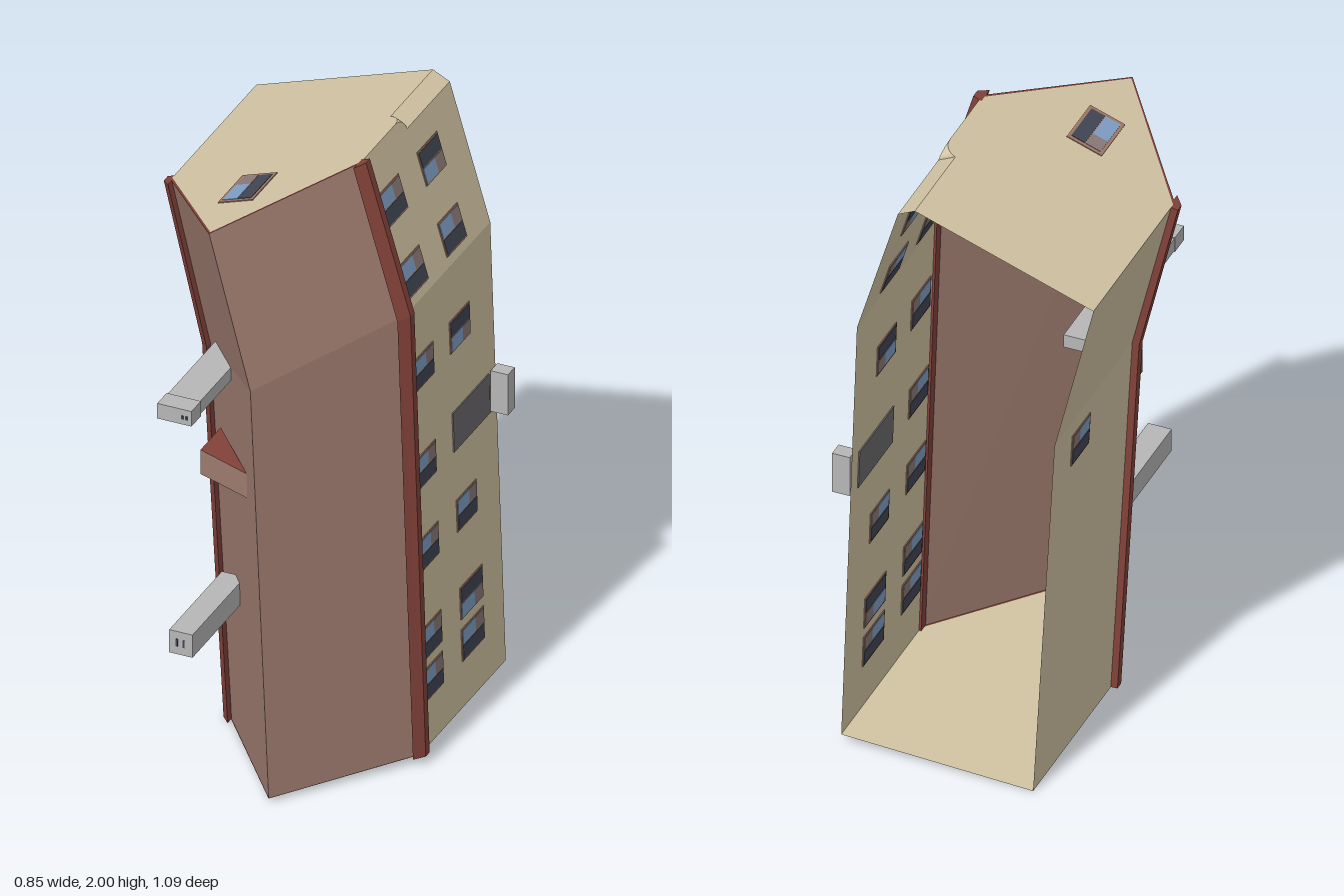
import * as THREE from 'three';

const material = (name, color, side = THREE.FrontSide) => {
  const m = new THREE.MeshStandardMaterial({ color, side });
  m.name = name;
  return m;
};

export function createModel() {
  const model = new THREE.Group();
  model.name = 'bentHouse';

  const sand = material('sandPlaster', 0xd2c4a3, THREE.DoubleSide);
  const brown = material('brownRoof', 0x9c7a6e, THREE.DoubleSide);
  const red = material('redTrim', 0x83423a, THREE.DoubleSide);
  const grey = material('greyStone', 0xb6b6b6);
  const door = material('doorGrey', 0x6c6a6c);
  const dark = material('darkPane', 0x414653);
  const blue = material('bluePane', 0x7f9fc4);
  const haze = material('hazePane', 0x8a7a78);
  const frame = material('windowFrame', 0xa07868);

  // Three cross-sections along the house: centre, slope and width factor
  const sections = [
    { x: 0.092, y: 0.019, slope: 0.045, w: 1 },
    { x: 0.033, y: 1.387, slope: 0.39, w: 1.03 },
    { x: -0.1, y: 1.89, slope: 0.345, w: 1 },
  ];
  const at = (k, u, z) => {
    const s = sections[k];
    return [s.x + u * s.w, s.y + u * s.w * s.slope, z];
  };

  const add = (name, geometry, mat, parent = model) => {
    const mesh = new THREE.Mesh(geometry, mat);
    mesh.name = name;
    parent.add(mesh);
    return mesh;
  };
  // Flat-faced geometry from a list of four-cornered faces
  const quads = (list) => {
    const p = [];
    for (const [a, b, c, d] of list) p.push(...a, ...b, ...c, ...a, ...c, ...d);
    const g = new THREE.BufferGeometry();
    g.setAttribute('position', new THREE.Float32BufferAttribute(p, 3));
    g.computeVertexNormals();
    return g;
  };
  // Sweep a (u, z) profile through the chosen sections
  const loft = (profile, first = 0, last = 2) => {
    const list = [];
    for (let k = first; k < last; k++)
      for (let i = 0; i + 1 < profile.length; i++) {
        const [a, b] = [profile[i], profile[i + 1]];
        list.push([at(k, ...a), at(k, ...b), at(k + 1, ...b), at(k + 1, ...a)]);
      }
    return quads(list);
  };
  // Flat polygon carried into space by a rule
  const mapped = (points, rule) => {
    const g = new THREE.ShapeGeometry(new THREE.Shape(points.map((p) => new THREE.Vector2(...p))));
    const pos = g.attributes.position;
    for (let i = 0; i < pos.count; i++) pos.setXYZ(i, ...rule(pos.getX(i), pos.getY(i)));
    g.computeVertexNormals();
    return g;
  };
  const box = (name, x, y, z, mat, parent = model) => {
    const mesh = add(name, new THREE.BoxGeometry(x[1] - x[0], y[1] - y[0], z[1] - z[0]), mat, parent);
    mesh.position.set((x[0] + x[1]) / 2, (y[0] + y[1]) / 2, (z[0] + z[1]) / 2);
    return mesh;
  };

  const HALF = 0.305, BACK = -0.54, EAVE = 0.04, RIDGE = 0.434;

  // Walls
  add('leftWall', loft([[-HALF, BACK], [-HALF, EAVE]]), sand);
  add('rightWallLower', loft([[HALF, BACK], [HALF, EAVE]], 0, 1), sand);

  // Rounded cut at the upper right corner
  const cut = [];
  for (let i = 0; i <= 8; i++) {
    const a = (i / 8) * Math.PI / 2;
    cut.push([-0.185 - 0.06 * Math.sin(a), 1 - Math.cos(a)]);
  }
  cut.push([BACK, 1]);
  const wallPoint = (z, t) => {
    const a = at(1, HALF, z), b = at(2, HALF, z);
    return a.map((v, i) => v + (b[i] - v) * t);
  };
  add('rightWallUpper', mapped(
    [[BACK, 0], [EAVE, 0], [EAVE, 1], ...cut.map(([z, s]) => [z, 1 - 0.085 * s])], wallPoint), sand);
  add('upperGable', mapped(
    [[-HALF, BACK], [-HALF, EAVE], [0, RIDGE], [HALF, EAVE], ...cut.map(([z, s]) => [HALF - 0.042 * s, z])],
    (u, z) => at(2, u, z)), sand);
  const chamfer = [];
  for (let i = 0; i + 1 < cut.length; i++) {
    const [[z0, s0], [z1, s1]] = [cut[i], cut[i + 1]];
    chamfer.push([at(2, HALF - 0.042 * s0, z0), at(2, HALF - 0.042 * s1, z1),
      wallPoint(z1, 1 - 0.085 * s1), wallPoint(z0, 1 - 0.085 * s0)]);
  }
  add('cornerCut', quads(chamfer), sand);
  add('lowerGable', mapped(
    [[-HALF, BACK], [-HALF, EAVE], [0, RIDGE], [HALF, EAVE], [HALF, BACK]],
    (u, z) => at(0, u, z)), sand);

  // Roof slopes, eave beams and gable edges
  for (const s of [-1, 1]) {
    const side = s < 0 ? 'left' : 'right';
    add(side + 'RoofSlope', loft([[s * 0.312, EAVE], [0, 0.441]]), brown);
    const beam = [[0.298, 0.025], [0.325, 0.028], [0.325, 0.055], [0.298, 0.085], [0.298, 0.025]]
      .map(([u, z]) => [s * u, z]);
    add(side + 'EaveBeam', loft(beam), red);
    for (const k of [0, 2]) {
      add(side + 'BeamEnd', quads([beam.slice(0, 4).map((p) => at(k, ...p))]), red);
      add(side + 'GableEdge', quads([[at(k, s * HALF, EAVE), at(k, s * 0.314, EAVE),
        at(k, 0, 0.442), at(k, 0, RIDGE - 0.002)]]), red);
    }
  }

  // Group lying in a side wall, local y running along the wall
  const onWall = (name, s, y, z) => {
    const p = sections.map((_, k) => at(k, s * HALF, 0));
    const k = y > p[1][1] ? 1 : 0;
    const dx = p[k + 1][0] - p[k][0], dy = p[k + 1][1] - p[k][1];
    const g = new THREE.Group();
    g.name = name;
    g.position.set(p[k][0] + (dx * (y - p[k][1])) / dy, y, z);
    g.rotation.z = -Math.atan2(dx, dy);
    model.add(g);
    return g;
  };
  // Window seen from both faces: frame, one dark sash, one reflecting sash
  const sashWindow = (s, y, z, width, height, darkTop) => {
    const g = onWall('window', s, y, z);
    const w = width / 2, h = height / 2, e = 0.005, d = darkTop ? 1 : -1;
    const span = (a, b) => [Math.min(a, b), Math.max(a, b)];
    box('frame', [-0.003, 0.003], [-h, h], [-w, w], frame, g);
    box('darkSash', [-0.0045, 0.0045], span(d * 0.002, d * (h - e)), [-w + e, w - e], dark, g);
    box('blueSash', [-0.0045, 0.0045], span(-d * 0.002, -d * (h - e)), [-w * 0.2, w - e], blue, g);
    box('hazeSash', [-0.0045, 0.0045], span(-d * 0.002, -d * (h - e)), [-w + e, -w * 0.2], haze, g);
  };
  // Rows: height, first window z, second window z, second has its dark sash on top
  const rows = [
    [1.817, -0.06, -0.326, true], [1.592, -0.06, -0.326, false], [1.277, -0.06, -0.31, true],
    [0.95, -0.052, null, false], [0.675, -0.05, -0.315, false],
    [0.378, -0.05, -0.325, true], [0.238, -0.05, -0.325, false],
  ];
  for (const [y, z1, z2, top] of rows) {
    const h = y > 1.5 ? 0.111 : 0.107;
    sashWindow(1, y, z1, 0.138, h, false);
    if (z2 !== null) sashWindow(1, y, z2, y < 0.4 ? 0.152 : 0.136, h, top);
  }
  sashWindow(-1, 1.155, -0.34, 0.13, 0.11, false);

  // Entrance in the right wall, with its block
  box('entrance', [-0.004, 0.004], [-0.065, 0.065], [-0.125, 0.125], door, onWall('entrancePanel', 1, 0.96, -0.365));
  box('entranceBlock', [0.37, 0.426], [0.897, 1.035], [-0.54, -0.493], grey);

  // Skylight in the upper gable
  const skylight = new THREE.Group();
  skylight.name = 'skylight';
  skylight.position.set(...at(2, -0.008, 0.156));
  skylight.rotation.z = Math.atan(sections[2].slope);
  model.add(skylight);
  box('frame', [-0.059, 0.059], [-0.003, 0.003], [-0.085, 0.085], frame, skylight);
  box('darkSash', [0.004, 0.049], [-0.0045, 0.0045], [-0.073, 0.073], dark, skylight);
  box('blueSash', [-0.049, 0.001], [-0.0045, 0.0045], [-0.02, 0.073], blue, skylight);
  box('hazeSash', [-0.049, 0.001], [-0.0045, 0.0045], [-0.073, -0.02], haze, skylight);

  // Chimneys standing out of the left slope
  box('upperChimney', [-0.222, -0.118], [1.283, 1.327], [-0.1, 0.467], grey);
  box('upperChimneyTop', [-0.224, -0.114], [1.28, 1.331], [0.467, 0.532], grey);
  box('lowerChimney', [-0.18, -0.105], [0.503, 0.58], [0.18, 0.544], grey);
  for (const x of [-0.143, -0.13]) box('upperFlue', [x - 0.003, x + 0.003], [1.298, 1.31], [0.53, 0.534], dark);
  for (const x of [-0.155, -0.133]) box('lowerFlue', [x - 0.003, x + 0.003], [0.53, 0.555], [0.542, 0.546], dark);

  // Dormer on the left slope
  const [y0, y1] = [0.963, 1.045];
  const outline = [[-0.02, 0.352], [-0.2, 0.285], [-0.2, 0.145]];
  add('dormerRoof', quads([[[-0.02, y0, 0.352], [-0.2, y0, 0.285], [-0.2, y1, 0.285], [-0.02, y1, 0.352]]]), brown);
  add('dormerFront', quads([[[-0.2, y0, 0.285], [-0.2, y0, 0.145], [-0.2, y1, 0.145], [-0.2, y1, 0.285]]]), red);
  for (const y of [y0, y1]) add('dormerCheek', mapped(outline, (x, z) => [x, y, z]), red);

  return model;
}
